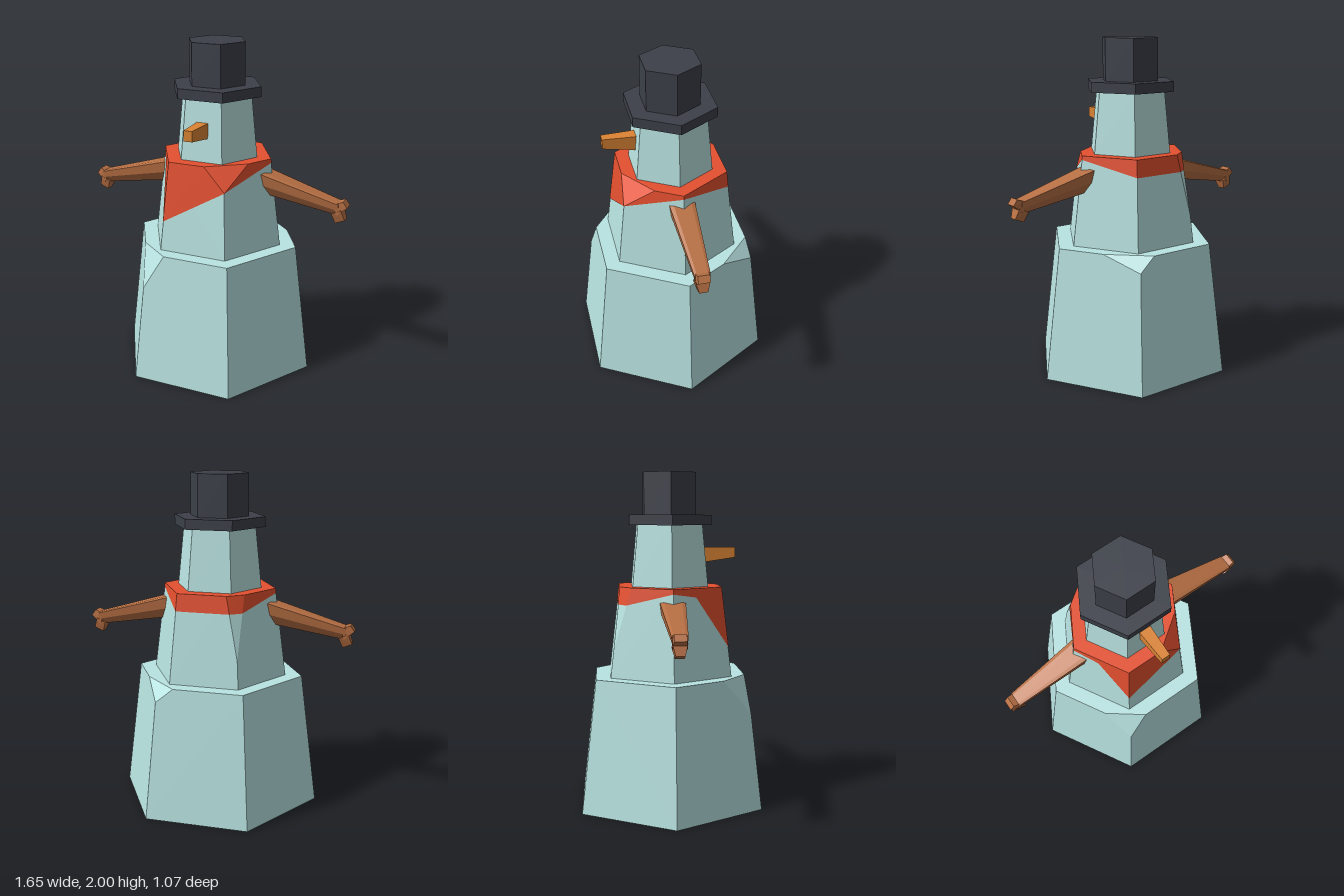
import * as THREE from 'three';
import { ConvexGeometry } from 'three/addons/geometries/ConvexGeometry.js';

const material = (color) => new THREE.MeshStandardMaterial({ color, flatShading: true });
const V = (x, y, z) => new THREE.Vector3(x, y, z);

function add(parent, name, geometry, mat) {
  const mesh = new THREE.Mesh(geometry, mat);
  mesh.name = name;
  parent.add(mesh);
  return mesh;
}

// Six-sided tapered column with flat faces to the front and back
function hexColumn(rBottom, rTop, y0, y1) {
  return new THREE.CylinderGeometry(rTop, rBottom, y1 - y0, 6, 1, false, Math.PI / 6)
    .translate(0, (y0 + y1) / 2, 0);
}

function hexRing(r, y) {
  return Array.from({ length: 6 }, (_, k) => {
    const a = Math.PI / 6 + k * Math.PI / 3;
    return V(r * Math.sin(a), y, r * Math.cos(a));
  });
}

// Tapered column whose listed top corners are chipped off:
// chips[corner] = fractions along [previous edge, next edge, downward edge]
function chippedColumn(rBottom, rTop, y0, y1, chips) {
  const low = hexRing(rBottom, y0), top = hexRing(rTop, y1);
  const points = [...low];
  top.forEach((p, k) => {
    const c = chips[k];
    if (!c) return points.push(p);
    const ends = [top[(k + 5) % 6], top[(k + 1) % 6], low[k]];
    ends.forEach((e, i) => points.push(p.clone().lerp(e, c[i])));
  });
  return new ConvexGeometry(points);
}

function fromTriangles(points) {
  const g = new THREE.BufferGeometry().setFromPoints(points);
  g.computeVertexNormals();
  return g;
}

// Flush neckerchief: columns of [topX, topZ, bottomX, bottomY, bottomZ]
function scarfGeometry(yTop) {
  const s = 1.005;
  const columns = [
    [-0.1725, 0.299, -0.196, 0.97, 0.34],
    [0.05, 0.299, 0.184, 1.19, 0.314],
    [0.26, 0.147, 0.184, 1.19, 0.314],
    [0.345, 0, 0.348, 1.305, 0],
    [0.1725, -0.299, 0.179, 1.225, -0.31],
    [-0.12, -0.299, -0.141, 1.225, -0.3105],
    [-0.21, -0.234, -0.206, 1.225, -0.263],
    [-0.345, 0, -0.348, 1.30, 0],
    [-0.27, 0.13, -0.272, 1.275, 0.138],
  ].map(([tx, tz, bx, by, bz]) => [V(tx * s, yTop, tz * s), V(bx * s, by, bz * s)]);
  const tris = [], centre = V(0, yTop, 0);
  columns.forEach(([t0, b0], i) => {
    const [t1, b1] = columns[(i + 1) % columns.length];
    if (!b0.equals(b1)) tris.push(b0, b1, t1);
    tris.push(b0, t1, t0, centre, t0, t1);
  });
  return fromTriangles(tris);
}

// Left arm with a forked hand, pointing to +x
function createArm(mat) {
  const arm = new THREE.Group();
  // Cross-section: broad on top, narrow below
  const section = (x, yTop, h, w) => [[1, 0.06], [0.9, 0.55], [0.4, 1], [0.7, 0]]
    .flatMap(([z, d]) => [V(x, yTop - d * h, z * w), V(x, yTop - d * h, -z * w)]);
  add(arm, 'armBranch', new ConvexGeometry([
    ...section(0.31, 1.257, 0.137, 0.075),
    ...section(0.775, 1.122, 0.078, 0.045),
  ]), mat);
  // Two stubby fingers: root and tip corners in the xy plane
  const fingers = [
    [[0.745, 1.115], [0.765, 1.05], [0.825, 1.1], [0.8, 1.135]],
    [[0.735, 1.055], [0.79, 1.085], [0.812, 1.02], [0.757, 0.998]],
  ];
  fingers.forEach((outline, i) => {
    const points = outline.flatMap(([x, y], k) => {
      const w = k < 2 ? 0.042 : (i ? 0.025 : 0.034);
      return [V(x, y, w), V(x, y, -w)];
    });
    add(arm, i ? 'lowerFinger' : 'upperFinger', new ConvexGeometry(points), mat);
  });
  return arm;
}

export function createModel() {
  const model = new THREE.Group();
  model.name = 'snowFigure';
  const snow = material(0xb9e4e2), felt = material(0x3c4049), cloth = material(0xe5502f);
  const wood = material(0xb87044), orange = material(0xdb8434);

  // Three stacked blocks of snow
  add(model, 'base', chippedColumn(0.618, 0.515, 0, 0.795,
    { 5: [0.34, 0.22, 0.27], 2: [0.45, 0.19, 0.107] }), snow);
  add(model, 'torso', chippedColumn(0.415, 0.345, 0.794, 1.325,
    { 0: [0.355, 0.51, 0.255], 3: [0.15, 0.22, 0.69] }), snow);
  add(model, 'head', hexColumn(0.26, 0.22, 1.32, 1.7), snow);

  add(model, 'scarf', scarfGeometry(1.328), cloth);

  // Top hat
  const hat = new THREE.Group();
  hat.name = 'hat';
  add(hat, 'hatBrim', hexColumn(0.278, 0.278, 1.69, 1.75), felt);
  add(hat, 'hatCrown', hexColumn(0.178, 0.178, 1.74, 2), felt);
  model.add(hat);

  // Carrot nose
  const nose = [];
  for (const s of [-1, 1]) {
    nose.push(V(s * 0.037, 1.557, 0.18), V(s * 0.037, 1.463, 0.18),
      V(s * 0.026, 1.557, 0.4), V(s * 0.026, 1.495, 0.4));
  }
  add(model, 'nose', new ConvexGeometry(nose), orange);

  // Arms: the right one is the left one turned half around
  ['leftArm', 'rightArm'].forEach((name, i) => {
    const arm = createArm(wood);
    arm.name = name;
    arm.rotation.y = i * Math.PI;
    model.add(arm);
  });
  return model;
}
